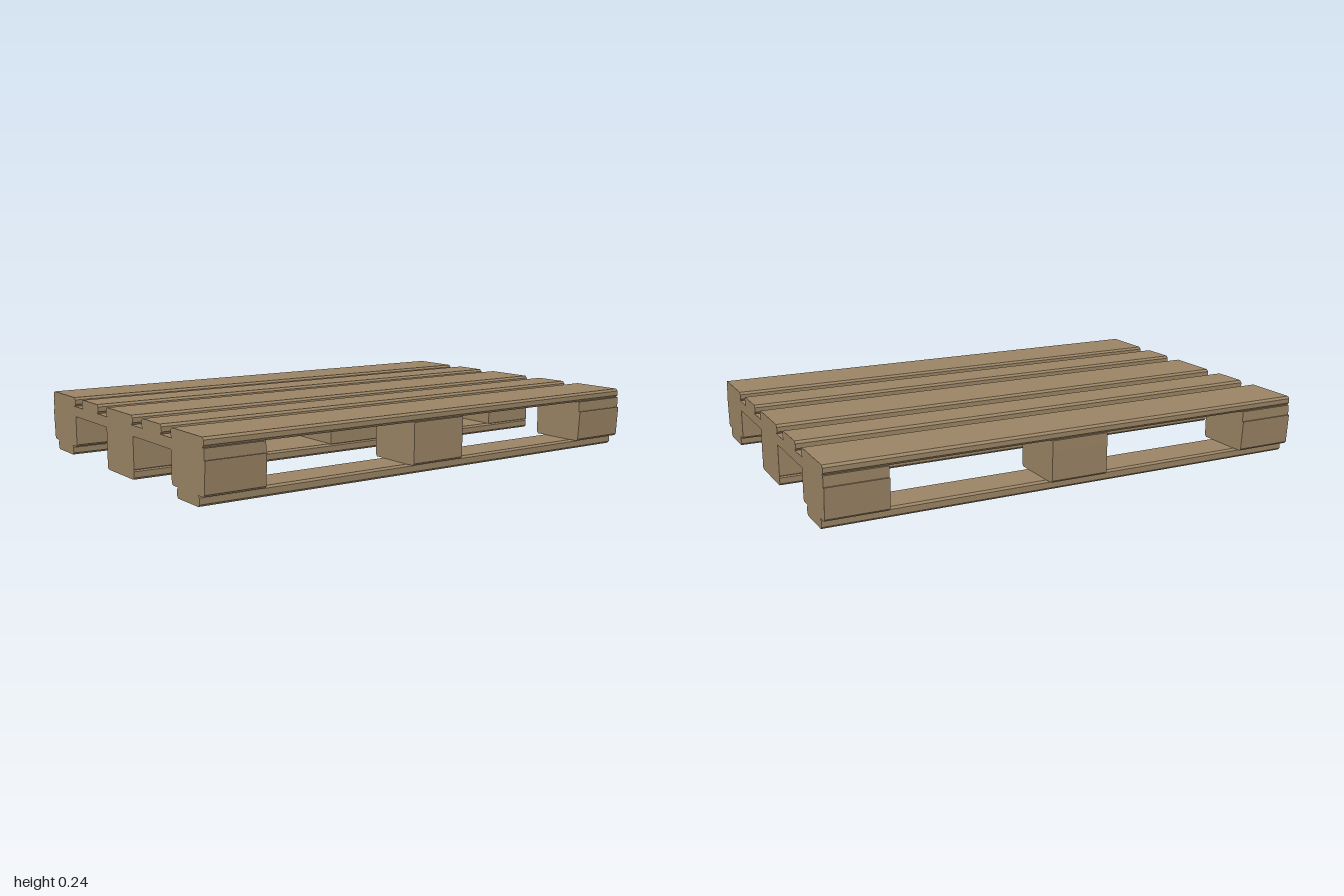
import * as THREE from 'three';

const LENGTH = 1.99;
const BLOCK_W = 0.236;

// Straight bar along z with a given x/y cross-section, centred on z
function bar(points, length, z = 0) {
  const shape = new THREE.Shape(points.map(([x, y]) => new THREE.Vector2(x, y)));
  const geo = new THREE.ExtrudeGeometry(shape, { depth: length, bevelEnabled: false });
  return geo.translate(0, 0, z - length / 2);
}

// Rectangle with chamfered corners
function chamfered(x0, x1, y0, y1, c) {
  return [
    [x0 + c, y0], [x1 - c, y0], [x1, y0 + c], [x1, y1 - c],
    [x1 - c, y1], [x0 + c, y1], [x0, y1 - c], [x0, y0 + c],
  ];
}

export function createModel() {
  const pallet = new THREE.Group();
  pallet.name = 'pallet';
  const wood = new THREE.MeshStandardMaterial({ color: 0x9b8465 });
  wood.name = 'wood';

  const add = (name, geo) => {
    const mesh = new THREE.Mesh(geo, wood);
    mesh.name = name;
    pallet.add(mesh);
  };

  // Deck: wide and narrow boards running front to back
  const deck = [[-0.541, 0.236], [-0.274, 0.16], [-0.001, 0.236], [0.272, 0.16], [0.54, 0.236]];
  for (const [x, w] of deck) {
    add('deckBoard', bar(chamfered(x - w / 2, x + w / 2, 0.204, 0.24, 0.009), LENGTH));
  }

  // Stringer boards across, with a row of three blocks below each
  for (const z of [-0.877, 0, 0.877]) {
    const stringer = new THREE.BoxGeometry(1.318, 0.041, BLOCK_W);
    add('stringerBoard', stringer.translate(0, 0.1835, z));

    add('middleBlock', bar(chamfered(-0.118, 0.118, 0.037, 0.163, 0.002), BLOCK_W, z));
    for (const side of [-1, 1]) {
      // Corner blocks lean out a little towards the top
      const lean = z === 0 ? 0 : 0.006;
      const profile = [
        [0.431, 0.039], [0.649, 0.039], [0.657, 0.047], [0.659 + lean, 0.163],
        [0.423, 0.163], [0.423, 0.047],
      ].map(([x, y]) => [x * side, y]);
      add('sideBlock', bar(profile, BLOCK_W, z));
    }
  }

  // Bottom runners: narrow at the sides, wide in the middle
  for (const [x, w] of [[-0.541, 0.16], [0, 0.236], [0.541, 0.16]]) {
    add('bottomRunner', bar(chamfered(x - w / 2, x + w / 2, 0, 0.039, 0.008), LENGTH));
  }

  return pallet;
}
